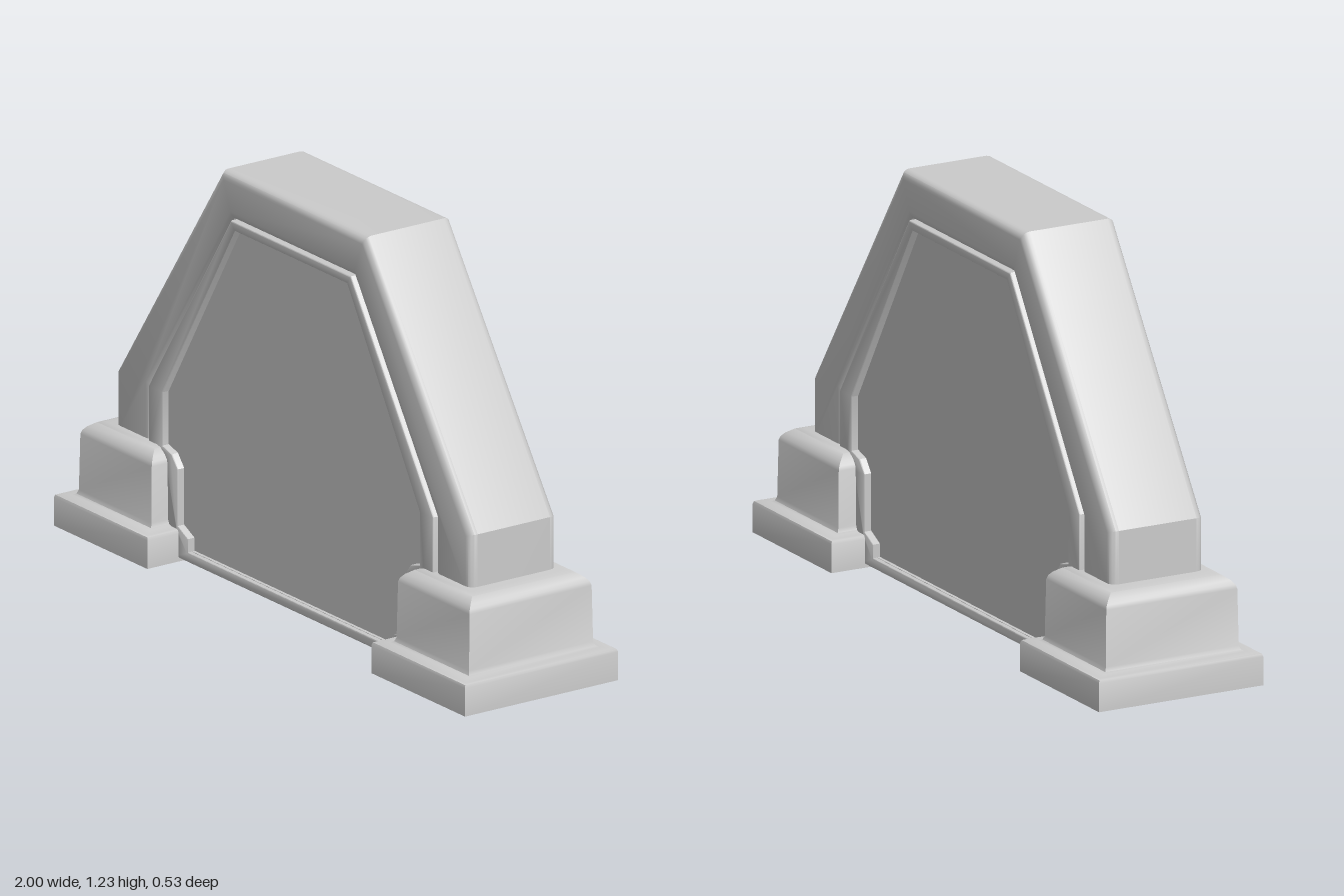
import * as THREE from 'three';
import { toCreasedNormals } from 'three/addons/utils/BufferGeometryUtils.js';

const material = new THREE.MeshStandardMaterial({ color: 0xcccccc });
const shellMaterial = new THREE.MeshStandardMaterial({ color: 0xcccccc, side: THREE.DoubleSide });

// Right half of an outline, bottom to top, completed with its mirror image
const mirrored = (half) => [...half, ...half.map(([x, y]) => [-x, y]).reverse()];
const vectors = (points) => points.map(([x, y]) => new THREE.Vector2(x, y));

// Extrusion centred on z, with its rounded edges kept inside the outline
function slab(name, outline, halfDepth, bevel, hole) {
  const shape = new THREE.Shape(vectors(outline));
  if (hole) shape.holes.push(new THREE.Path(vectors(hole)));
  const geometry = new THREE.ExtrudeGeometry(shape, {
    depth: 2 * (halfDepth - bevel),
    bevelEnabled: bevel > 0,
    bevelThickness: bevel,
    bevelSize: bevel,
    bevelOffset: -bevel,
    bevelSegments: 4,
  });
  geometry.translate(0, 0, bevel - halfDepth);
  const mesh = new THREE.Mesh(toCreasedNormals(geometry, 0.6), material);
  mesh.name = name;
  return mesh;
}

// Rectangular stepped shell, open below: each profile entry is [inset, height]
function footGeometry(halfX, halfZ, profile) {
  const corners = [[1, 1], [1, -1], [-1, -1], [-1, 1]];
  const positions = [];
  const index = [];
  profile.forEach(([inset, y], level) => {
    corners.forEach(([sx, sz], i) => {
      positions.push(sx * (halfX - inset), y, sz * (halfZ - inset));
      if (level === 0) return;
      const next = (i + 1) % 4;
      const low = (level - 1) * 4;
      const high = level * 4;
      index.push(low + i, low + next, high + next, low + i, high + next, high + i);
    });
  });
  const top = (profile.length - 1) * 4;
  index.push(top, top + 1, top + 2, top, top + 2, top + 3);
  const geometry = new THREE.BufferGeometry();
  geometry.setAttribute('position', new THREE.Float32BufferAttribute(positions, 3));
  geometry.setIndex(index);
  return toCreasedNormals(geometry, 0.7);
}

export function createModel() {
  const model = new THREE.Group();
  model.name = 'archedBarrier';

  // Angular arch standing on the two feet
  const archOuter = [[0.865, 0.29], [0.865, 0.48], [0.35, 1.23]];
  const archInner = [[0.69, 0.29], [0.69, 0.485], [0.29, 1.095]];
  const archOutline = [...mirrored(archOuter), ...mirrored(archInner).reverse()];
  model.add(slab('arch', archOutline, 0.151, 0.025));

  // Thin raised rim that follows the arch and steps around the feet
  const rimOuter = mirrored([
    [0.56, 0.01], [0.56, 0.085], [0.61, 0.1], [0.61, 0.27],
    [0.65, 0.31], [0.692, 0.31], [0.692, 0.487], [0.292, 1.097],
  ]);
  const rimInner = mirrored([
    [0.5, 0.04], [0.5, 0.08], [0.55, 0.105], [0.55, 0.275],
    [0.58, 0.312], [0.625, 0.325], [0.625, 0.485], [0.272, 1.07],
  ]);
  model.add(slab('rim', rimOuter, 0.158, 0.005, rimInner));

  // Recessed panel filling the rim
  model.add(slab('panel', rimInner, 0.135, 0));

  // Hollow stepped feet: plinth, small fillet, block with a rounded top
  const foot = footGeometry(0.2275, 0.267, [
    [0, 0], [0, 0.085], [0.003, 0.093], [0.01, 0.096], [0.037, 0.096],
    [0.046, 0.1], [0.051, 0.112], [0.054, 0.28], [0.058, 0.292],
    [0.068, 0.304], [0.088, 0.318], [0.105, 0.322],
  ]);
  for (const [side, name] of [[1, 'leftFoot'], [-1, 'rightFoot']]) {
    const mesh = new THREE.Mesh(foot, shellMaterial);
    mesh.name = name;
    mesh.position.x = side * 0.7725;
    model.add(mesh);
  }

  // Underside of the panel between the feet
  const underside = new THREE.Mesh(new THREE.BoxGeometry(1.1, 0.03, 0.29), material);
  underside.name = 'panelUnderside';
  underside.position.y = 0.026;
  model.add(underside);

  return model;
}
